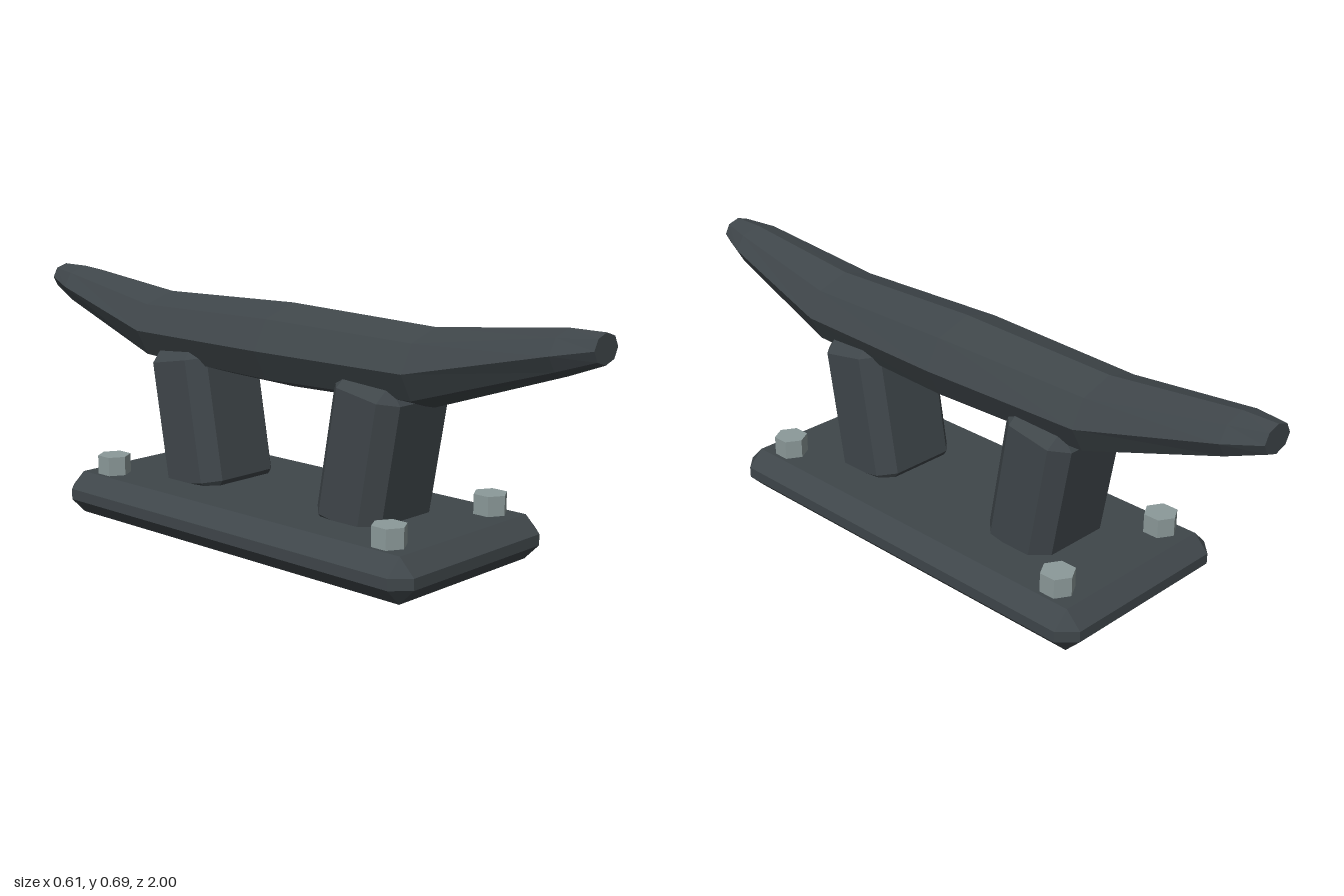
import * as THREE from 'three';
import { ConvexGeometry } from 'three/addons/geometries/ConvexGeometry.js';

const iron = new THREE.MeshStandardMaterial({ color: 0x3f464a });
iron.name = 'darkIron';
const steel = new THREE.MeshStandardMaterial({ color: 0x8c9a9a });
steel.name = 'boltSteel';

function part(name, geometry, material) {
  const mesh = new THREE.Mesh(geometry, material);
  mesh.name = name;
  return mesh;
}

// Box with every edge and corner chamfered, centred on the origin
function chamferBox(w, h, d, c) {
  const points = [];
  for (const sx of [-1, 1]) for (const sy of [-1, 1]) for (const sz of [-1, 1]) {
    for (const [a, b, e] of [[0, c, c], [c, 0, c], [c, c, 0]]) {
      points.push(new THREE.Vector3(sx * (w / 2 - a), sy * (h / 2 - b), sz * (d / 2 - e)));
    }
  }
  return new ConvexGeometry(points);
}

// Horn: octagonal rings joined along z, with flat end caps
function hornGeometry() {
  // z, centre height, half width, half height
  const half = [[0, 0.542, 0.153, 0.117], [0.5, 0.541, 0.137, 0.104], [0.9, 0.629, 0.085, 0.058], [1, 0.648, 0.05, 0.039]];
  const stations = [...half.slice(1).reverse().map(([z, ...rest]) => [-z, ...rest]), ...half];
  const sides = 8;
  const ring = ([z, y, w, h]) => Array.from({ length: sides }, (_, i) => {
    const t = (i / sides) * Math.PI * 2;
    return [w * Math.cos(t), y + h * Math.sin(t), z];
  });
  const rings = stations.map(ring);
  const pos = [];
  const tri = (a, b, c) => pos.push(...a, ...b, ...c);
  for (let s = 0; s < rings.length - 1; s++) {
    const p = rings[s], q = rings[s + 1];
    for (let i = 0; i < sides; i++) {
      const j = (i + 1) % sides;
      tri(p[i], p[j], q[j]);
      tri(p[i], q[j], q[i]);
    }
  }
  const back = rings[0], front = rings[rings.length - 1];
  for (let i = 1; i < sides - 1; i++) {
    tri(front[0], front[i], front[i + 1]);
    tri(back[0], back[i + 1], back[i]);
  }
  const geometry = new THREE.BufferGeometry();
  geometry.setAttribute('position', new THREE.Float32BufferAttribute(pos, 3));
  geometry.computeVertexNormals();
  return geometry;
}

// Hexagonal bolt head with flat-shaded sides
function boltGeometry() {
  const geometry = new THREE.CylinderGeometry(0.048, 0.048, 0.065, 6).toNonIndexed();
  geometry.computeVertexNormals();
  return geometry;
}

export function createModel() {
  const model = new THREE.Group();
  model.name = 'mooringCleat';

  // Base plate
  const base = part('basePlate', chamferBox(0.614, 0.123, 1.31, 0.046), iron);
  base.position.y = 0.0615;
  model.add(base);

  // Horn bar
  model.add(part('horn', hornGeometry(), iron));

  // Two legs leaning outward into the horn
  const tilt = THREE.MathUtils.degToRad(10);
  const legGeometry = chamferBox(0.284, 0.442, 0.225, 0.044);
  const along = 0.346, across = 0.2705;
  for (const s of [1, -1]) {
    const leg = part(s > 0 ? 'frontLeg' : 'backLeg', legGeometry, iron);
    leg.position.set(0, along * Math.cos(tilt) - across * Math.sin(tilt),
      s * (along * Math.sin(tilt) + across * Math.cos(tilt)));
    leg.rotation.x = s * tilt;
    model.add(leg);
  }

  // Four bolt heads at the base corners
  const bolt = boltGeometry();
  for (const sx of [1, -1]) for (const sz of [1, -1]) {
    const head = part(`${sz > 0 ? 'front' : 'back'}${sx > 0 ? 'Left' : 'Right'}Bolt`, bolt, steel);
    head.position.set(sx * 0.208, 0.1455, sz * 0.53);
    model.add(head);
  }
  return model;
}
